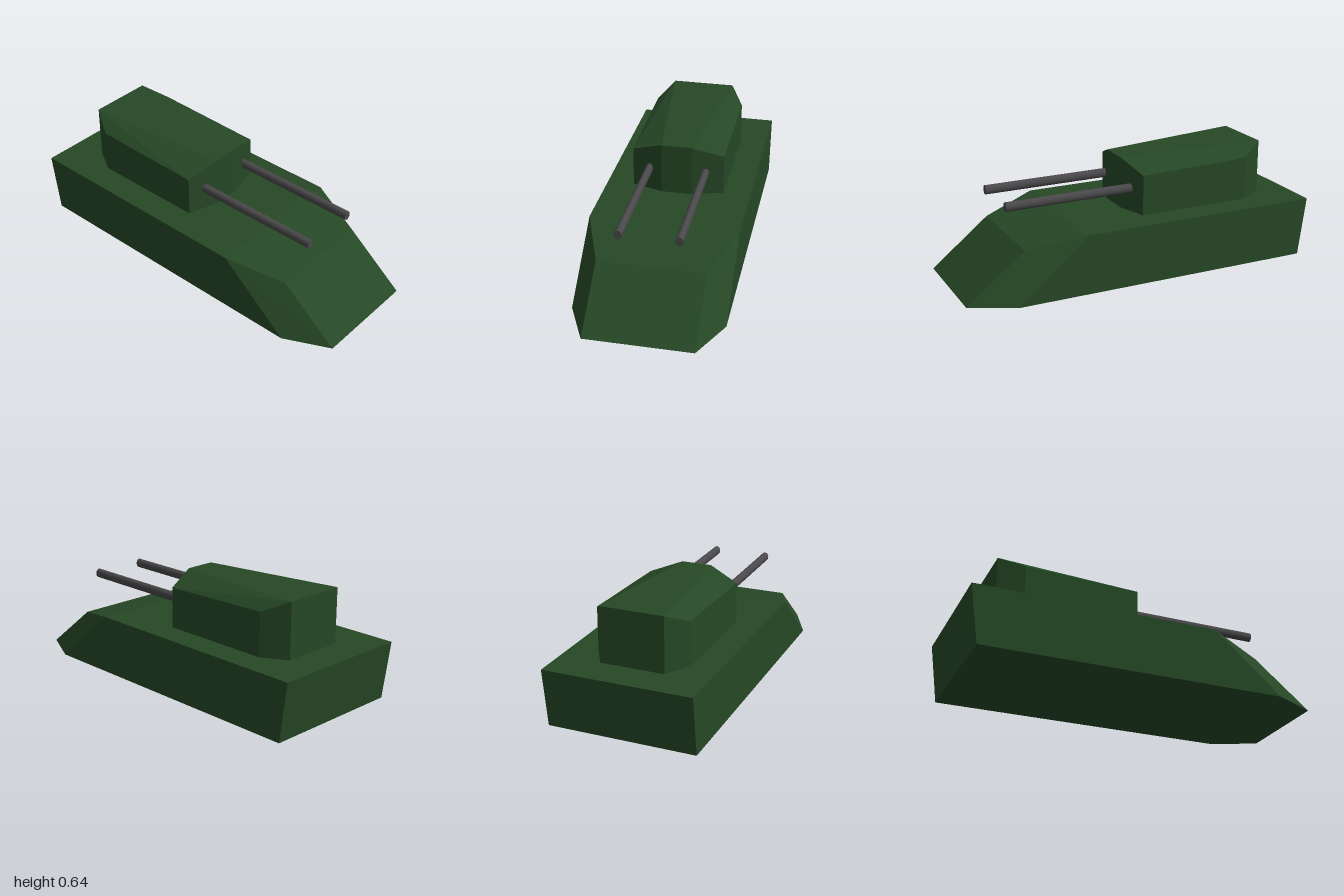
import * as THREE from 'three';
import { ConvexGeometry } from 'three/addons/geometries/ConvexGeometry.js';

// Faceted solid from points on the +x side, mirrored to -x
function mirroredSolid(points, material, name) {
  const all = points.flatMap(([x, y, z]) => [
    new THREE.Vector3(x, y, z),
    new THREE.Vector3(-x, y, z),
  ]);
  const mesh = new THREE.Mesh(new ConvexGeometry(all), material);
  mesh.name = name;
  return mesh;
}

export function createModel() {
  const armour = new THREE.MeshStandardMaterial({ color: 0x264826 });
  armour.name = 'armour green';
  const gunmetal = new THREE.MeshStandardMaterial({ color: 0x4a484a });
  gunmetal.name = 'gunmetal grey';

  const model = new THREE.Group();
  model.name = 'tank';

  // Hull: wedge bow with cut corners, raked stern
  model.add(mirroredSolid([
    [0.41, 0, -0.955], [0.41, 0, 0.755], [0.293, 0, 1],
    [0.41, 0.33, -1], [0.41, 0.33, 0.365], [0.293, 0.26, 0.675],
  ], armour, 'hull'));

  // Turret: tapered roof over an eight-sided plan
  const base = 0.325;
  model.add(mirroredSolid([
    [0.178, base, -0.81], [0.258, base, -0.675], [0.258, base, -0.03], [0.085, base, 0.022],
    [0.178, 0.637, -0.81], [0.258, 0.573, -0.675], [0.258, 0.556, -0.03], [0.085, 0.62, 0.022],
  ], armour, 'turret'));

  // Twin gun barrels, slightly taller than wide
  const barrelGeometry = new THREE.CylinderGeometry(1, 1, 0.755, 20);
  barrelGeometry.rotateX(Math.PI / 2);
  barrelGeometry.scale(0.021, 0.026, 1);
  for (const side of [-1, 1]) {
    const barrel = new THREE.Mesh(barrelGeometry, gunmetal);
    barrel.name = side > 0 ? 'leftBarrel' : 'rightBarrel';
    barrel.position.set(side * 0.158, 0.462, 0.3475);
    model.add(barrel);
  }

  return model;
}
